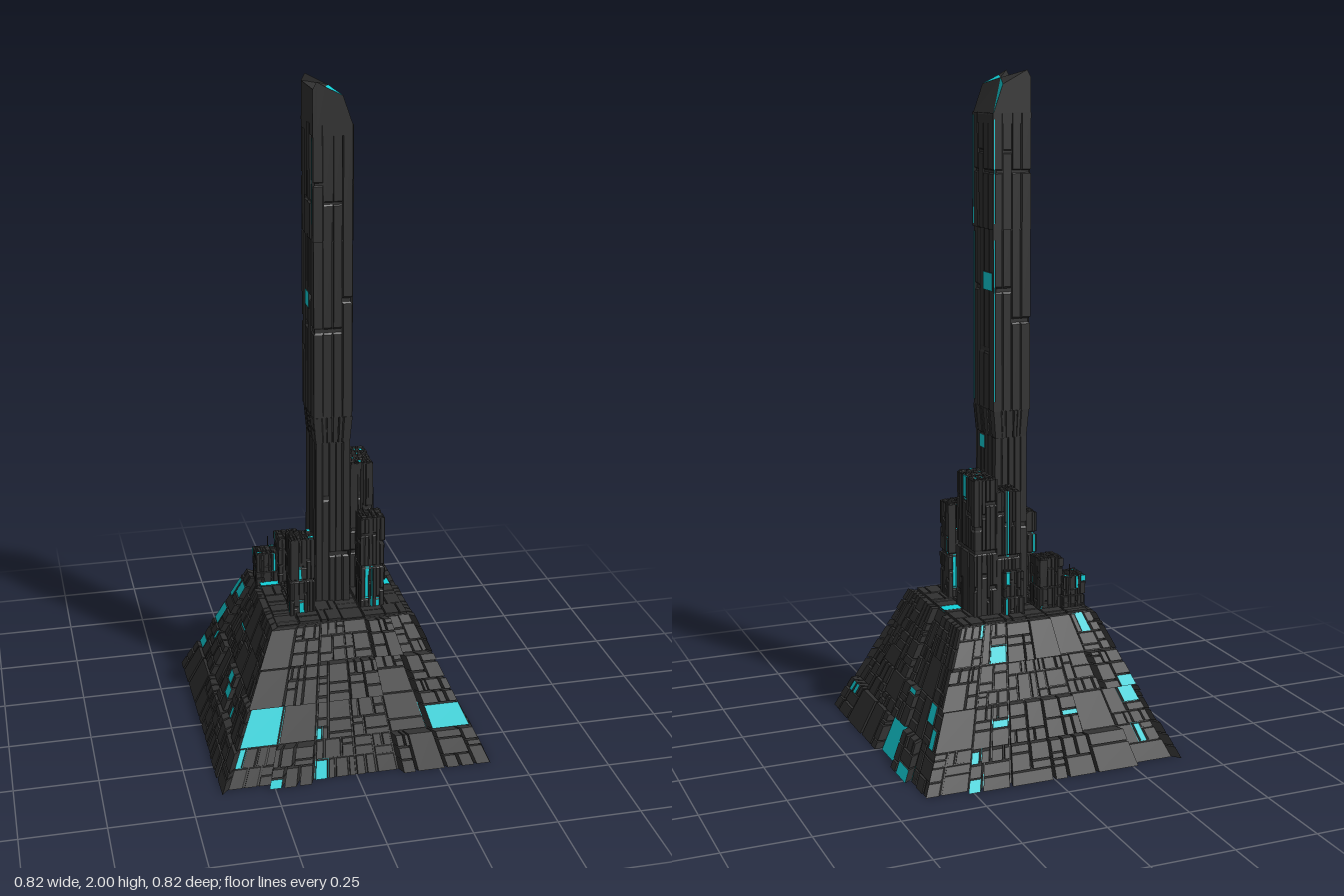
import * as THREE from 'three';

let seed = 11;
const rnd = () => ((seed = (seed * 16807) % 2147483647) / 2147483647);
const DARK = 0, GLOW = 1;
const materials = [0x313131, 0x12d2da].map(
  (color) => new THREE.MeshStandardMaterial({ color, side: THREE.DoubleSide }));

// A skin collects triangles for the dark plating and the glowing plates
const newSkin = () => [[], []];
function quad(list, a, b, c, d) {
  list.push(...a, ...b, ...c, ...a, ...c, ...d);
}
function finish(skin, name) {
  const group = new THREE.Group();
  group.name = name;
  skin.forEach((list, i) => {
    if (!list.length) return;
    const geo = new THREE.BufferGeometry();
    geo.setAttribute('position', new THREE.Float32BufferAttribute(list, 3));
    geo.computeVertexNormals();
    const mesh = new THREE.Mesh(geo, materials[i]);
    mesh.name = name + (i === GLOW ? 'Lights' : 'Plating');
    group.add(mesh);
  });
  return group;
}

// Faces of a tapered box: P(u, v, d) is a point raised by d from the face
function prism(cx, cz, hx0, hz0, hx1, hz1, y0, y1) {
  const sides = [0, 1, 2, 3].map((k) => (u, v, d) => {
    const hx = hx0 + (hx1 - hx0) * v + d, hz = hz0 + (hz1 - hz0) * v + d;
    const s = 2 * u - 1, y = y0 + (y1 - y0) * v;
    return [
      [cx + s * hx, y, cz + hz], [cx + hx, y, cz - s * hz],
      [cx - s * hx, y, cz - hz], [cx - hx, y, cz + s * hz],
    ][k];
  });
  const top = (u, v, d) => [cx + (2 * u - 1) * hx1, y1 + d, cz - (2 * v - 1) * hz1];
  return { sides, top };
}

// One raised plate with bevelled edges, over its own patch of the face
function plate(skin, P, u0, u1, v0, v1, d, color = DARK, gap = 0.006) {
  const list = skin[color];
  const gu = Math.min(gap, (u1 - u0) * 0.15), gv = Math.min(gap, (v1 - v0) * 0.15);
  const uv = [[u0, v0, 1, 1], [u1, v0, -1, 1], [u1, v1, -1, -1], [u0, v1, 1, -1]];
  const floor = uv.map(([u, v]) => P(u, v, 0));
  const foot = uv.map(([u, v, a, b]) => P(u + a * gu * 0.5, v + b * gv * 0.5, 0));
  // plates on the outer rim keep their full edge
  const rim = (t) => t < 0.001 || t > 0.999;
  const cap = uv.map(([u, v, a, b]) =>
    P(rim(u) ? u : u + a * gu, rim(v) ? v : v + b * gv, d));
  quad(skin[color], ...floor);
  quad(list, ...cap);
  for (let i = 0; i < 4; i++) {
    const j = (i + 1) % 4;
    quad(skin[DARK], foot[i], foot[j], cap[j], cap[i]);
  }
}

// Split a patch at random into plates of varying height
function clad(skin, P, [u0, u1, v0, v1], depth, levels, opt) {
  const { aspect = 1, glow = 0.05, jitter = 0.005, gap = 0.006 } = opt;
  if (levels > 0 && rnd() < 0.88) {
    const t = [0.33, 0.5, 0.67][Math.floor(rnd() * 3)];
    const tall = (v1 - v0) * aspect > (u1 - u0) * (0.75 + rnd() * 0.5);
    const m = tall ? v0 + (v1 - v0) * t : u0 + (u1 - u0) * t;
    const parts = tall ? [[u0, u1, v0, m], [u0, u1, m, v1]] : [[u0, m, v0, v1], [m, u1, v0, v1]];
    parts.forEach((p) => clad(skin, P, p, depth, levels - 1, opt));
    return;
  }
  const color = rnd() < glow ? GLOW : DARK;
  plate(skin, P, u0, u1, v0, v1, depth + (rnd() - 0.5) * jitter, color, gap);
}

// Cells of a face, each clad in turn
function cladGrid(skin, P, cols, rows, depthAt, levels, opt) {
  for (let i = 0; i < cols; i++) for (let j = 0; j < rows; j++) {
    const cell = [i / cols, (i + 1) / cols, j / rows, (j + 1) / rows];
    clad(skin, P, cell, depthAt(i, j), levels, opt);
  }
}

// Sloping hollow base with stepped plates and a tiled deck
function buildBase() {
  const walls = newSkin(), deck = newSkin();
  const { sides, top } = prism(0, 0, 0.382, 0.382, 0.198, 0.198, 0, 0.418);
  const skirts = ['010011', '111010', '011110', '111111'];
  sides.forEach((P, k) => {
    cladGrid(walls, P, 6, 4, (i, j) => {
      if (j === 0) return skirts[k][i] === '1' ? 0.026 : 0.004;
      return 0.006 + 0.014 * Math.floor(rnd() * 2);
    }, 3, { aspect: 0.75, glow: 0.06, jitter: 0.004 });
  });
  cladGrid(deck, top, 6, 6, () => 0.003 + rnd() * 0.006, 1, { glow: 0.05, jitter: 0.002 });
  return [finish(walls, 'baseWalls'), finish(deck, 'baseDeck')];
}

// Small building: vertical strips on its sides, a grid of boxes on its roof
function buildBlock([x, z, hx, hz, height], i) {
  const skin = newSkin();
  const { sides, top } = prism(x, z, hx - 0.003, hz - 0.003, hx - 0.003, hz - 0.003, 0.4, height - 0.006);
  sides.forEach((P) => cladGrid(skin, P, 3, 2, () => 0.002 + rnd() * 0.004, 2,
    { aspect: 0.5, glow: 0.07, jitter: 0.003, gap: 0.02 }));
  cladGrid(skin, top, Math.round(hx / 0.009), Math.round(hz / 0.009), () => 0.004, 1,
    { glow: 0.04, jitter: 0.004, gap: 0.02 });
  return finish(skin, 'block' + (i + 1));
}

// Tall spire in four stages
function buildSpire() {
  const skin = newSkin(), cx = -0.003;
  const stages = [
    [0.048, 0.07, 0.046, 0.07, 0.4, 0.94, 5],
    [0.046, 0.07, 0.053, 0.073, 0.94, 1.02, 3],
    [0.053, 0.073, 0.052, 0.071, 1.02, 1.55, 4],
    [0.053, 0.074, 0.053, 0.074, 1.55, 1.88, 4],
  ].map(([a, b, c, d, y0, y1, cols]) => {
    const { sides } = prism(cx, 0, a, b, c, d, y0, y1);
    sides.forEach((P) => cladGrid(skin, P, cols, 1, () => 0.002 + rnd() * 0.004, 1,
      { aspect: 0.3, glow: 0.015, jitter: 0.001, gap: 0.02 }));
    return sides;
  });
  // glowing windows and corner strips
  plate(skin, stages[0][1], 0.22, 0.48, 0.91, 0.995, 0.007, GLOW);
  plate(skin, stages[2][1], 0.5, 0.95, 0.66, 0.77, 0.007, GLOW);
  plate(skin, stages[2][3], 0.3, 0.65, 0.6, 0.7, 0.007, GLOW);
  for (const s of [2, 3]) {
    plate(skin, stages[s][1], 0.02, 0.08, 0.02, 0.98, 0.0065, GLOW);
    plate(skin, stages[s][2], 0.02, 0.06, 0.05, 0.95, 0.0065, GLOW);
  }
  plate(skin, stages[3][3], 0.92, 0.97, 0.05, 0.9, 0.0065, GLOW);
  return finish(skin, 'spire');
}

// Slanted faceted crown: a wall ring closed by a fan of facets
function buildCrown() {
  const skin = newSkin(), z = 0.077, apex = [0, 1.978, 0];
  const ring = [
    [0.055, 1.875, z], [0.055, 1.875, -z], [0.025, 1.96, -z], [-0.05, 2, -z],
    [-0.061, 1.98, -z], [-0.061, 1.98, z], [-0.05, 2, z], [-0.025, 1.985, z], [0.025, 1.96, z],
  ];
  ring.forEach((a, i) => {
    const b = ring[(i + 1) % ring.length];
    quad(skin[DARK], [a[0], 1.85, a[2]], [b[0], 1.85, b[2]], b, a);
    skin[i === 1 || i === 7 ? GLOW : DARK].push(...a, ...b, ...apex);
  });
  return finish(skin, 'crown');
}

export function createModel() {
  const model = new THREE.Group();
  model.name = 'citadelTower';
  model.add(...buildBase(), buildSpire(), buildCrown());

  // Blocks around the spire: x, z, half width, half depth, height
  const blocks = [
    [0.105, -0.07, 0.035, 0.07, 0.84], [0.035, -0.108, 0.035, 0.034, 0.8],
    [0.105, 0.105, 0.035, 0.035, 0.72], [-0.108, 0.105, 0.036, 0.035, 0.67],
    [-0.105, -0.105, 0.035, 0.035, 0.58], [-0.172, -0.125, 0.033, 0.033, 0.525],
    [-0.105, 0, 0.034, 0.069, 0.435], [0.025, -0.15, 0.03, 0.01, 0.56],
  ];
  blocks.forEach((b, i) => model.add(buildBlock(b, i)));

  // Thin antennas on the deck
  [[-0.16, -0.15, 0.555], [0.148, -0.06, 0.53], [-0.065, 0.09, 0.55]].forEach(([x, z, h]) => {
    const mast = new THREE.Mesh(new THREE.CylinderGeometry(0.0015, 0.0025, h - 0.4, 6), materials[DARK]);
    mast.position.set(x, (h + 0.4) / 2, z);
    mast.name = 'antenna';
    model.add(mast);
  });
  return model;
}
